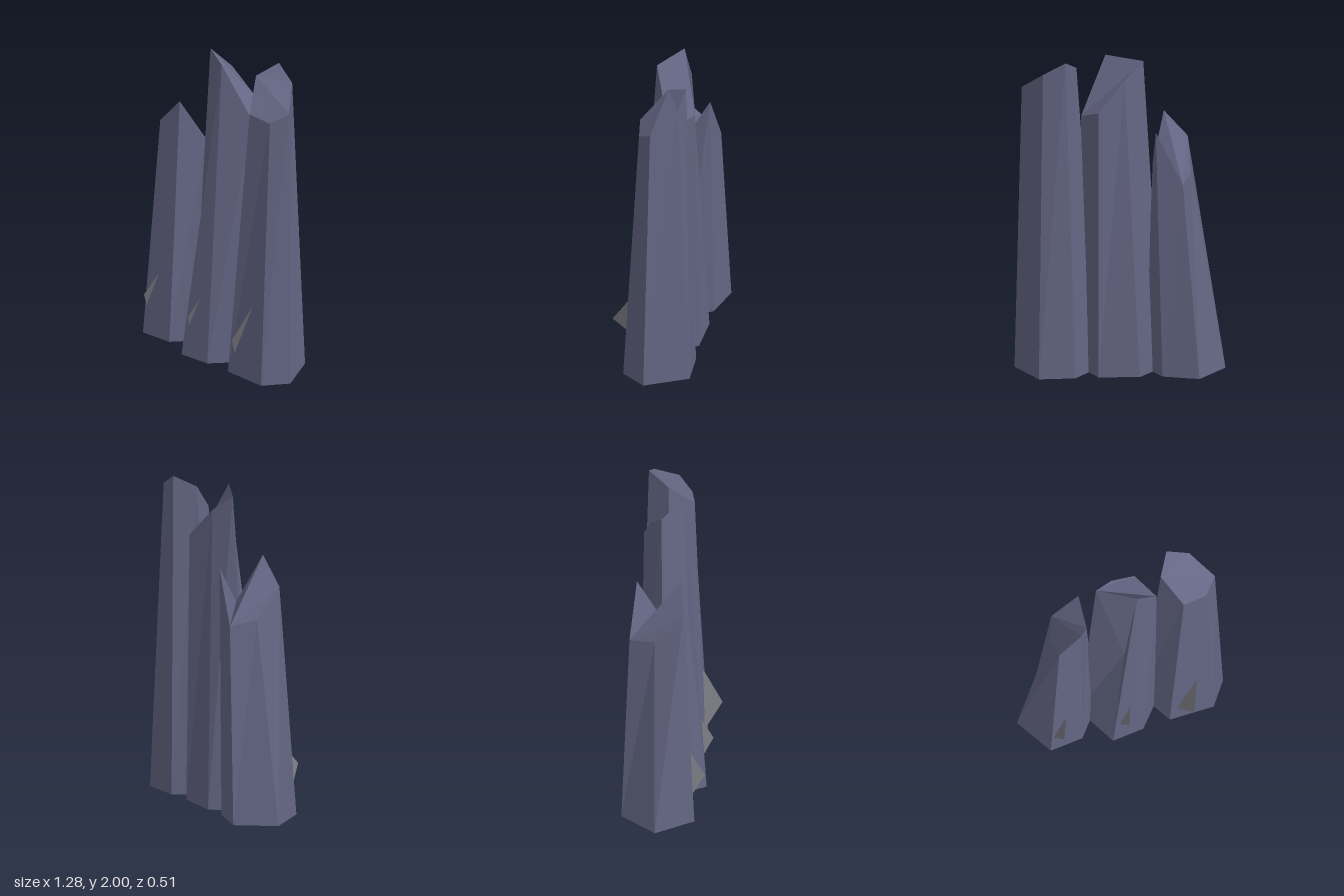
import * as THREE from 'three';

const stone = new THREE.MeshStandardMaterial({ color: 0x646684 });
stone.name = 'slate stone';
const chip = new THREE.MeshStandardMaterial({ color: 0x77777f, side: THREE.DoubleSide });
chip.name = 'grey chip';

// Flat-shaded mesh from a list of [x, y, z] triangle corners
function facetMesh(name, corners, material) {
  const geometry = new THREE.BufferGeometry();
  geometry.setAttribute('position', new THREE.Float32BufferAttribute(corners.flat(), 3));
  geometry.computeVertexNormals();
  const mesh = new THREE.Mesh(geometry, material);
  mesh.name = name;
  return mesh;
}

// Six-sided column between a ground ring [x, z] and a broken top ring [x, y, z].
// Rings run left, front, right, back; the top is a fan from corner fanStart.
function column(name, ground, top, fanStart) {
  const n = ground.length;
  const base = ground.map(([x, z]) => [x, 0, z]);
  const corners = [];
  for (let i = 0; i < n; i++) {
    const j = (i + 1) % n;
    corners.push(base[i], base[j], top[j], base[i], top[j], top[i]);
  }
  for (let k = 1; k < n - 1; k++) {
    corners.push(top[fanStart], top[(fanStart + k) % n], top[(fanStart + k + 1) % n]);
    corners.push(base[0], base[k + 1], base[k]);
  }
  return facetMesh(name, corners, stone);
}

// Thin triangular shard, its inner corners sunk a little into the column
function shard(name, low, high, tip) {
  const sink = (p) => p.map((v, i) => tip[i] + (v - tip[i]) * 1.12);
  return facetMesh(name, [sink(low), tip, sink(high)], chip);
}

export function createModel() {
  const group = new THREE.Group();
  group.name = 'stoneColumns';

  // Short leaning column with a fin at the back
  group.add(column('shortColumn',
    [[-0.643, -0.024], [-0.483, 0.198], [-0.278, 0.163], [-0.15, -0.02], [-0.26, -0.2], [-0.485, -0.25]],
    [[-0.433, 1.26, -0.052], [-0.412, 1.44, 0.12], [-0.267, 1.61, 0.09],
      [-0.2, 1.32, -0.06], [-0.22, 1.555, -0.19], [-0.384, 1.23, -0.214]], 5));

  // Middle column with a deep chipped front corner
  group.add(column('middleColumn',
    [[-0.26, -0.02], [-0.1, 0.222], [0.098, 0.187], [0.25, -0.02], [0.13, -0.217], [-0.122, -0.213]],
    [[-0.143, 1.97, -0.05], [0, 1.14, 0.097], [0.088, 1.975, 0.06],
      [0.236, 1.62, -0.055], [0.13, 1.68, -0.193], [-0.03, 1.866, -0.128]], 0));

  // Tall column with a top sloping to the front
  group.add(column('tallColumn',
    [[0.13, -0.03], [0.267, 0.167], [0.547, 0.145], [0.641, -0.008], [0.492, -0.259], [0.27, -0.238]],
    [[0.264, 1.93, -0.062], [0.374, 1.757, 0.086], [0.522, 1.735, 0.052],
      [0.597, 1.8, -0.038], [0.468, 1.92, -0.176], [0.33, 2, -0.19]], 0));

  // Shards on the front faces
  group.add(shard('shortShard', [-0.465, 0.185, 0.183], [-0.38, 0.42, 0.165], [-0.412, 0.3, 0.252]));
  group.add(shard('middleShard', [-0.057, 0.2, 0.195], [0.022, 0.425, 0.163], [-0.006, 0.3, 0.252]));
  group.add(shard('tallShard', [0.315, 0.14, 0.157], [0.443, 0.48, 0.132], [0.4, 0.29, 0.253]));

  return group;
}
